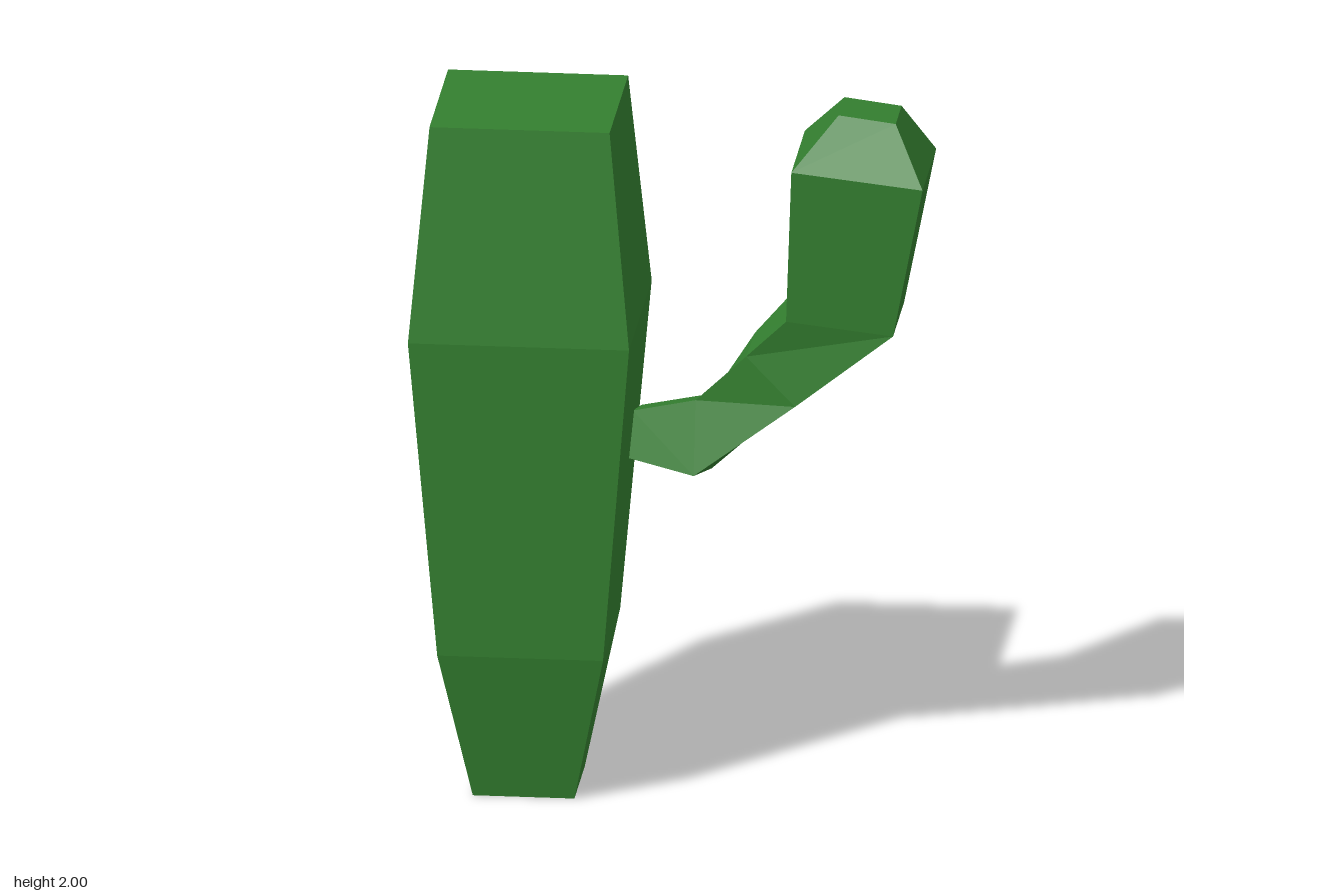
import * as THREE from 'three';

const green = new THREE.MeshStandardMaterial({ color: 0x348030, flatShading: true });

// Skins a stack of four-cornered rings and closes both ends.
// Corner order: front left, front right, back right, back left.
function loft(name, rings) {
  const positions = [];
  const quad = (a, b, c, d) => [a, b, c, a, c, d].forEach((p) => positions.push(...p));
  for (let r = 0; r < rings.length - 1; r++) {
    const low = rings[r], high = rings[r + 1];
    for (let i = 0; i < 4; i++) {
      const j = (i + 1) % 4;
      quad(low[i], low[j], high[j], high[i]);
    }
  }
  const first = rings[0], last = rings[rings.length - 1];
  quad(first[3], first[2], first[1], first[0]);
  quad(...last);
  const geometry = new THREE.BufferGeometry();
  geometry.setAttribute('position', new THREE.Float32BufferAttribute(positions, 3));
  geometry.computeVertexNormals();
  const mesh = new THREE.Mesh(geometry, green);
  mesh.name = name;
  return mesh;
}

// Ring with inner (left) and outer (right) edges and a depth range
const ring = (x0, y0, x1, y1, zFront, zBack) => [
  [x0, y0, zFront], [x1, y1, zFront], [x1, y1, zBack], [x0, y0, zBack],
];

export function createModel() {
  const group = new THREE.Group();
  group.name = 'cactus';

  // Square trunk, widest above the middle
  group.add(loft('trunk', [
    ring(-0.545, 0, -0.26, 0, 0.15, -0.13),
    ring(-0.635, 0.44, -0.17, 0.44, 0.245, -0.225),
    ring(-0.71, 1.38, -0.09, 1.38, 0.315, -0.303),
    ring(-0.655, 2, -0.15, 2, 0.26, -0.245),
  ]));

  // Arm: twisted root, bend, then an upright tip with a bevelled cap
  group.add(loft('arm', [
    [[-0.12, 1.07, -0.08], [-0.13, 0.94, -0.05], [-0.11, 0.91, -0.19], [-0.11, 1.04, -0.22]],
    [[0.06, 1.12, -0.04], [0.06, 0.915, 0.015], [0.09, 0.87, -0.19], [0.09, 1.075, -0.237]],
    [[0.205, 1.265, -0.005], [0.345, 1.13, 0.02], [0.36, 1.105, -0.235], [0.205, 1.25, -0.265]],
    ring(0.32, 1.38, 0.62, 1.347, 0.02, -0.28),
    ring(0.338, 1.83, 0.706, 1.79, 0.052, -0.318),
    ring(0.46, 1.968, 0.62, 1.948, -0.053, -0.213),
  ]));

  return group;
}
